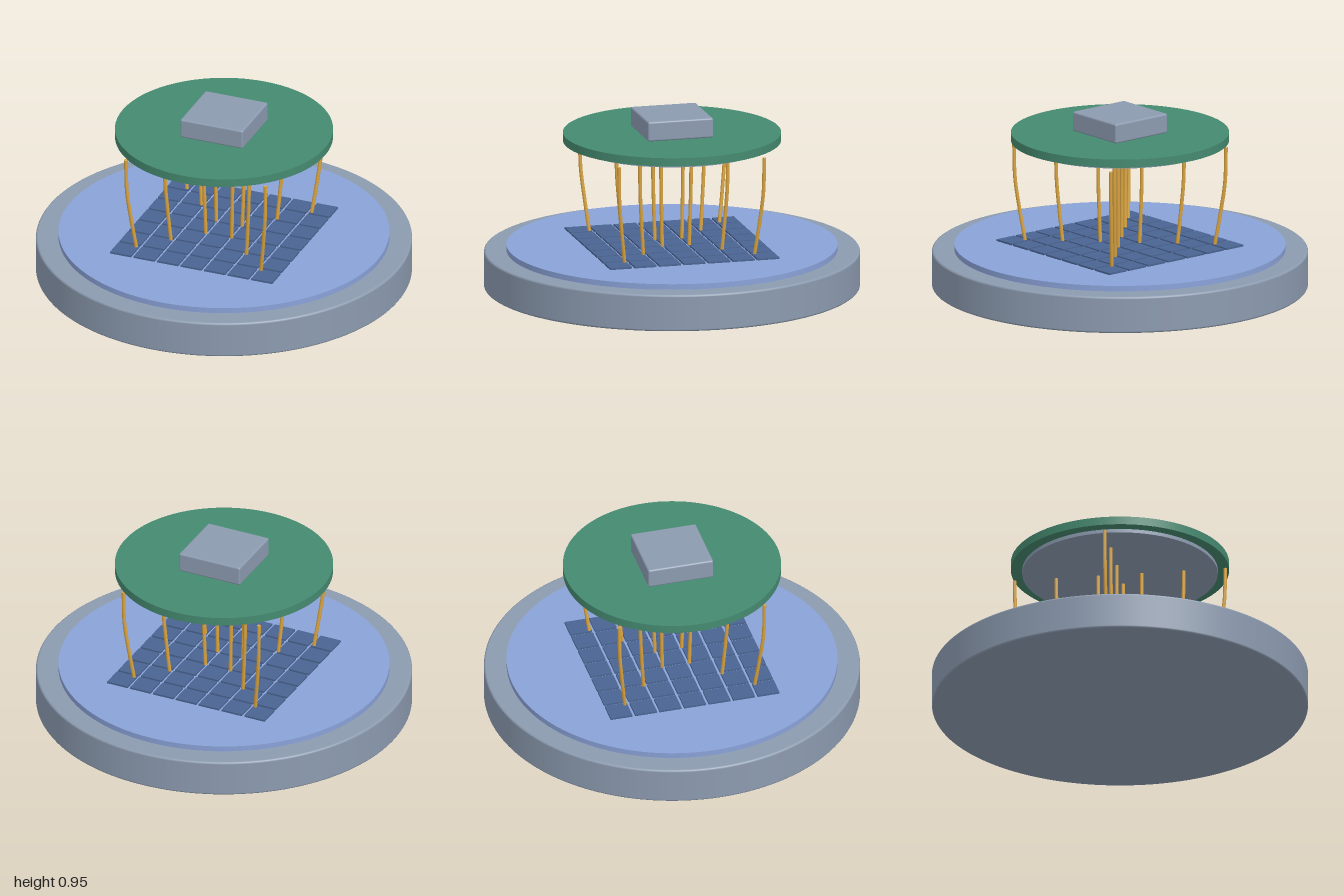
import * as THREE from 'three';
import { RoundedBoxGeometry } from 'three/addons/geometries/RoundedBoxGeometry.js';

const material = (color) => new THREE.MeshStandardMaterial({ color });

function add(parent, name, geometry, mat, x = 0, y = 0, z = 0) {
  const mesh = new THREE.Mesh(geometry, mat);
  mesh.name = name;
  mesh.position.set(x, y, z);
  parent.add(mesh);
  return mesh;
}

// Flat disc standing between two heights
function disc(parent, name, radius, bottom, top, mat) {
  const geometry = new THREE.CylinderGeometry(radius, radius, top - bottom, 96);
  return add(parent, name, geometry, mat, 0, (bottom + top) / 2, 0);
}

// Disc with softly rounded rims, as extruded circle with bevel
function roundedDisc(radius, height, bevel) {
  const shape = new THREE.Shape().absarc(0, 0, radius - bevel, 0, Math.PI * 2);
  const geometry = new THREE.ExtrudeGeometry(shape, {
    depth: height - 2 * bevel, bevelSize: bevel, bevelThickness: bevel,
    bevelSegments: 4, curveSegments: 64,
  });
  geometry.rotateX(-Math.PI / 2).translate(0, bevel, 0);
  // Smooth the side normals around the rim, keep the flat faces flat
  const p = geometry.attributes.position, n = geometry.attributes.normal;
  for (let i = 0; i < p.count; i++) {
    if (Math.abs(n.getY(i)) > 0.99) continue;
    const r = Math.hypot(p.getX(i), p.getZ(i));
    const y = p.getY(i);
    const v = new THREE.Vector3(p.getX(i) / r, 0, p.getZ(i) / r);
    const over = y < bevel ? y - bevel : Math.max(0, y - height + bevel);
    const ny = THREE.MathUtils.clamp(over / bevel, -1, 1);
    v.multiplyScalar(Math.sqrt(1 - ny * ny)).setY(ny);
    n.setXYZ(i, v.x, v.y, v.z);
  }
  return geometry;
}

export function createModel() {
  const model = new THREE.Group();
  model.name = 'waferProbeStation';

  const grey = material(0x8c9bb0);
  const blue = material(0x8aa2d8);
  const navy = material(0x4a6492);
  const green = material(0x458a70);
  const gold = material(0xd9a441);

  // Chuck and the wafer lying on it
  add(model, 'chuck', roundedDisc(1, 0.2, 0.012), grey);
  disc(model, 'wafer', 0.88, 0.2, 0.23, blue);

  // Grid of 7 x 7 dies
  const dies = new THREE.Group();
  dies.name = 'dies';
  model.add(dies);
  const dieGeometry = new THREE.BoxGeometry(0.12, 0.012, 0.12);
  for (let i = -3; i <= 3; i++) {
    for (let j = -3; j <= 3; j++) {
      add(dies, 'die', dieGeometry, navy, i * 0.135, 0.234, j * 0.135);
    }
  }

  // Curved needles along both diagonals, leaning inwards at the tip
  const needles = new THREE.Group();
  needles.name = 'needles';
  model.add(needles);
  for (const a of [0.083, 0.242, 0.4]) {
    for (const sx of [-1, 1]) {
      for (const sz of [-1, 1]) {
        const points = [[1, 0.773], [0.99, 0.58], [0.95, 0.42], [0.895, 0.24]]
          .map(([k, y]) => new THREE.Vector3(sx * a * k, y, sz * a * k));
        const curve = new THREE.CatmullRomCurve3(points);
        const needle = add(needles, 'needle', new THREE.TubeGeometry(curve, 20, 0.01, 10), gold);
        // Closed ends
        const cap = new THREE.CircleGeometry(0.01, 10);
        add(needle, 'needleTop', cap, gold, points[0].x, 0.773, points[0].z).rotation.x = -Math.PI / 2;
        add(needle, 'needleTip', cap, gold, points[3].x, 0.24, points[3].z).rotation.x = Math.PI / 2;
      }
    }
  }

  // Probe card with backing plate and connector block
  disc(model, 'backingPlate', 0.52, 0.78, 0.8, grey);
  disc(model, 'probeCard', 0.58, 0.8, 0.845, green);
  add(model, 'connectorBlock', new RoundedBoxGeometry(0.36, 0.107, 0.36, 3, 0.01), grey, 0, 0.898, 0);

  return model;
}
